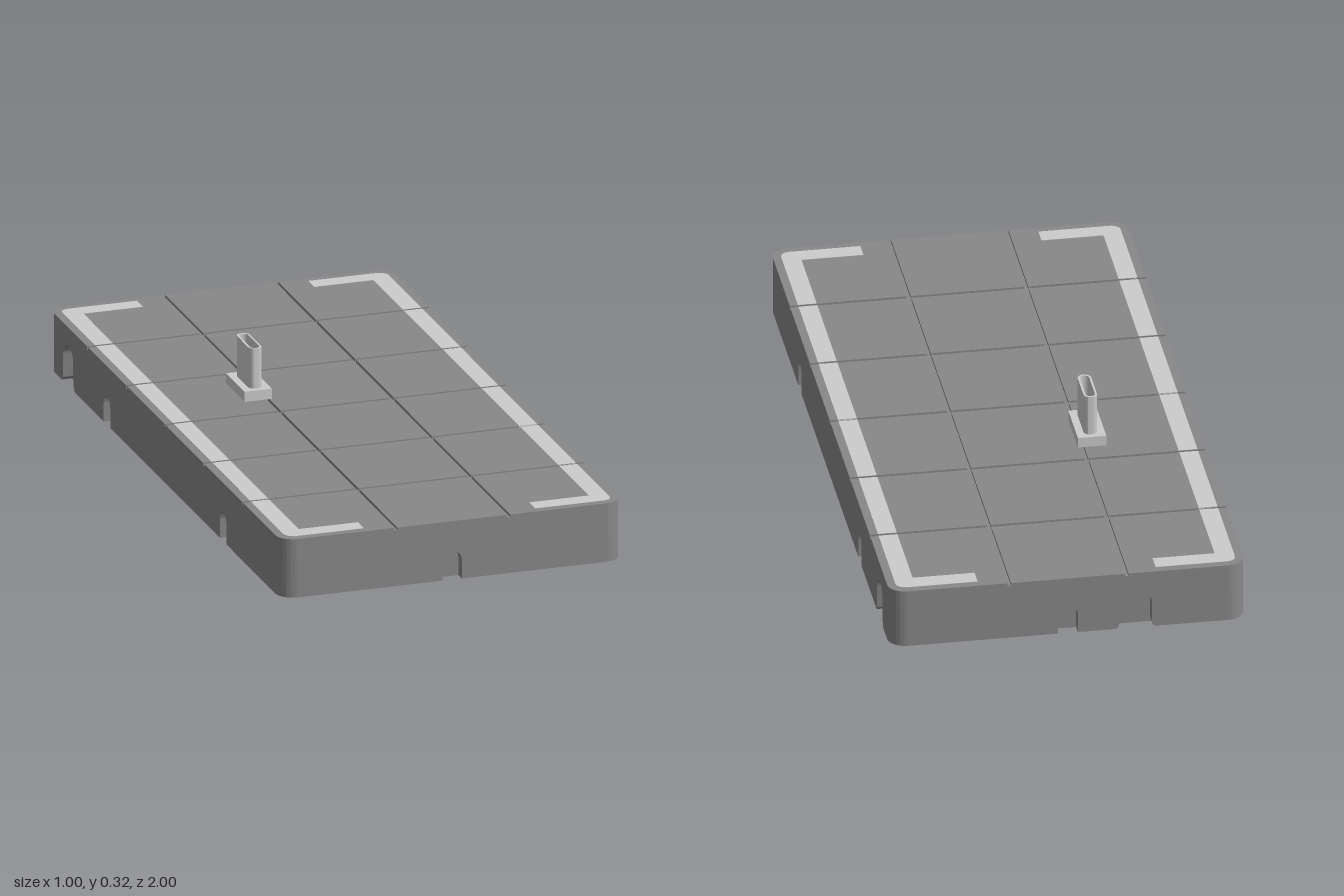
import * as THREE from 'three';
import { toCreasedNormals } from 'three/addons/utils/BufferGeometryUtils.js';

const TOP = 0.172, FLOOR = 0.164;    // tile surface and groove floor heights
const DEPTH = 0.03, R = 0.05;        // notch depth and corner radius
const G = 0.005;                     // half groove width

const dark = new THREE.MeshStandardMaterial({ color: 0x888888 });
const light = new THREE.MeshStandardMaterial({ color: 0xcccccc });

// Rectangle in plan with its own radius at each corner: [x0z0, x1z0, x1z1, x0z1]
function rect(x0, z0, x1, z1, r = [0, 0, 0, 0]) {
  const s = new THREE.Shape();
  const arc = (cx, cz, rad, a) => rad
    ? s.absarc(cx, cz, rad, a, a + Math.PI / 2, false)
    : s.lineTo(cx, cz);
  s.moveTo(x0, z0 + r[0]);
  arc(x0 + r[0], z0 + r[0], r[0], Math.PI);
  arc(x1 - r[1], z0 + r[1], r[1], -Math.PI / 2);
  arc(x1 - r[2], z1 - r[2], r[2], 0);
  arc(x0 + r[3], z1 - r[3], r[3], Math.PI / 2);
  s.closePath();
  return s;
}

function extrude(shape, depth) {
  const g = new THREE.ExtrudeGeometry(shape, { depth, bevelEnabled: false, curveSegments: 10 });
  return toCreasedNormals(g, 0.6);
}

// Plan shape (x, z) extruded downwards from a top height
function prism(name, shape, top, depth, material) {
  const g = extrude(shape, depth);
  g.rotateX(Math.PI / 2).translate(0, top, 0);
  const mesh = new THREE.Mesh(g, material);
  mesh.name = name;
  return mesh;
}

// Side wall with arched notches in its lower edge: [centre, radius, height, flare]
function wall(name, half, notches) {
  const s = new THREE.Shape();
  s.moveTo(-half, 0);
  for (const [c, r, h, f] of notches) {
    s.lineTo(c - r - f, 0);
    if (f) s.quadraticCurveTo(c - r, 0, c - r, f * 1.4);
    s.lineTo(c - r, h - r);
    s.absarc(c, h - r, r, Math.PI, 0, true);
    s.lineTo(c + r, f * 1.4);
    if (f) s.quadraticCurveTo(c + r, 0, c + r + f, 0);
  }
  s.lineTo(half, 0);
  s.lineTo(half, FLOOR);
  s.lineTo(-half, FLOOR);
  s.closePath();
  const mesh = new THREE.Mesh(extrude(s, DEPTH), dark);
  mesh.name = name;
  return mesh;
}

export function createModel() {
  const model = new THREE.Group();
  model.name = 'tiledBase';

  // Solid core behind the walls
  const cx = 0.5 - DEPTH, cz = 1 - DEPTH, cr = R - DEPTH;
  model.add(prism('core', rect(-cx, -cz, cx, cz, [cr, cr, cr, cr]), FLOOR, FLOOR, dark));

  // Four notched walls
  const small = (c) => [c, 0.028, 0.084, 0];
  const large = (c) => [c, 0.046, 0.118, 0.014];
  const walls = [
    ['frontWall', 0.5 - R, [small(0)], 0, cz, 0],
    ['backWall', 0.5 - R, [small(0), large(0.19)], 0, -cz, Math.PI],
    ['leftWall', 1 - R, [small(-0.5), small(0.5), large(0.833)], cx, 0, Math.PI / 2],
    ['rightWall', 1 - R, [large(-0.833), small(-0.5), small(0.5)], -cx, 0, -Math.PI / 2],
  ];
  for (const [name, half, notches, x, z, turn] of walls) {
    const w = wall(name, half, notches);
    w.position.set(x, 0, z);
    w.rotation.y = turn;
    model.add(w);
  }

  // Rounded corner posts
  for (let i = 0; i < 4; i++) {
    const a = i * Math.PI / 2, b = a + Math.PI / 2;
    const s = new THREE.Shape();
    s.absarc(0, 0, R, a, b, false);
    s.absarc(0, 0, cr, b, a, true);
    s.closePath();
    const post = prism('cornerPost', s, FLOOR, FLOOR, dark);
    post.position.set(i % 3 ? -(0.5 - R) : 0.5 - R, 0, i < 2 ? 1 - R : -(1 - R));
    model.add(post);
  }

  // Top tiles, 3 by 6, separated by grooves
  const xs = [-0.5, -0.165, 0.165, 0.5];
  const zs = [-1, -0.667, -0.333, 0, 0.333, 0.667, 1];
  const tiles = new THREE.Group();
  tiles.name = 'topTiles';
  for (let i = 0; i < 3; i++) {
    for (let j = 0; j < 6; j++) {
      const l = i === 0, r = i === 2, b = j === 0, f = j === 5;
      const radii = [l && b, r && b, r && f, l && f].map((round) => (round ? R : 0));
      const shape = rect(
        xs[i] + (l ? 0 : G), zs[j] + (b ? 0 : G),
        xs[i + 1] - (r ? 0 : G), zs[j + 1] - (f ? 0 : G), radii);
      tiles.add(prism('tile', shape, TOP, TOP - FLOOR, dark));
    }
  }
  model.add(tiles);

  // Light border strips: straight pieces on the sides, angled pieces at the corners
  const xo = 0.477, xi = 0.424, zo = 0.977, zi = 0.926, sr = 0.03;
  const strips = new THREE.Group();
  strips.name = 'borderStrips';
  for (const sx of [-1, 1]) {
    for (let j = 1; j < 5; j++) {
      const x0 = Math.min(sx * xo, sx * xi);
      strips.add(prism('sideStrip',
        rect(x0, zs[j] + G, x0 + xo - xi, zs[j + 1] - G), TOP + 0.001, 0.005, light));
    }
    for (const sz of [-1, 1]) {
      const s = new THREE.Shape();
      s.moveTo(sx * xi, sz * (0.667 + G));
      s.lineTo(sx * xo, sz * (0.667 + G));
      s.lineTo(sx * xo, sz * (zo - sr));
      s.quadraticCurveTo(sx * xo, sz * zo, sx * (xo - sr), sz * zo);
      s.lineTo(sx * 0.25, sz * zo);
      s.lineTo(sx * 0.25, sz * zi);
      s.lineTo(sx * xi, sz * zi);
      s.closePath();
      strips.add(prism('cornerStrip', s, TOP + 0.001, 0.005, light));
    }
  }
  model.add(strips);

  // Upright plug: rectangular foot and a hollow slot-shaped sleeve
  const plug = new THREE.Group();
  plug.name = 'plug';
  plug.position.set(-0.192, 0, -0.183);
  plug.add(prism('plugFoot', rect(-0.04, -0.08, 0.04, 0.08), 0.202, 0.202 - TOP, light));
  const slot = (w, l) => rect(-w, -l, w, l, [w, w, w, w].map((v) => v * 0.98));
  const sleeve = slot(0.019, 0.066);
  sleeve.holes.push(slot(0.013, 0.06));
  plug.add(prism('plugSleeve', sleeve, 0.32, 0.118, light));
  model.add(plug);

  return model;
}
